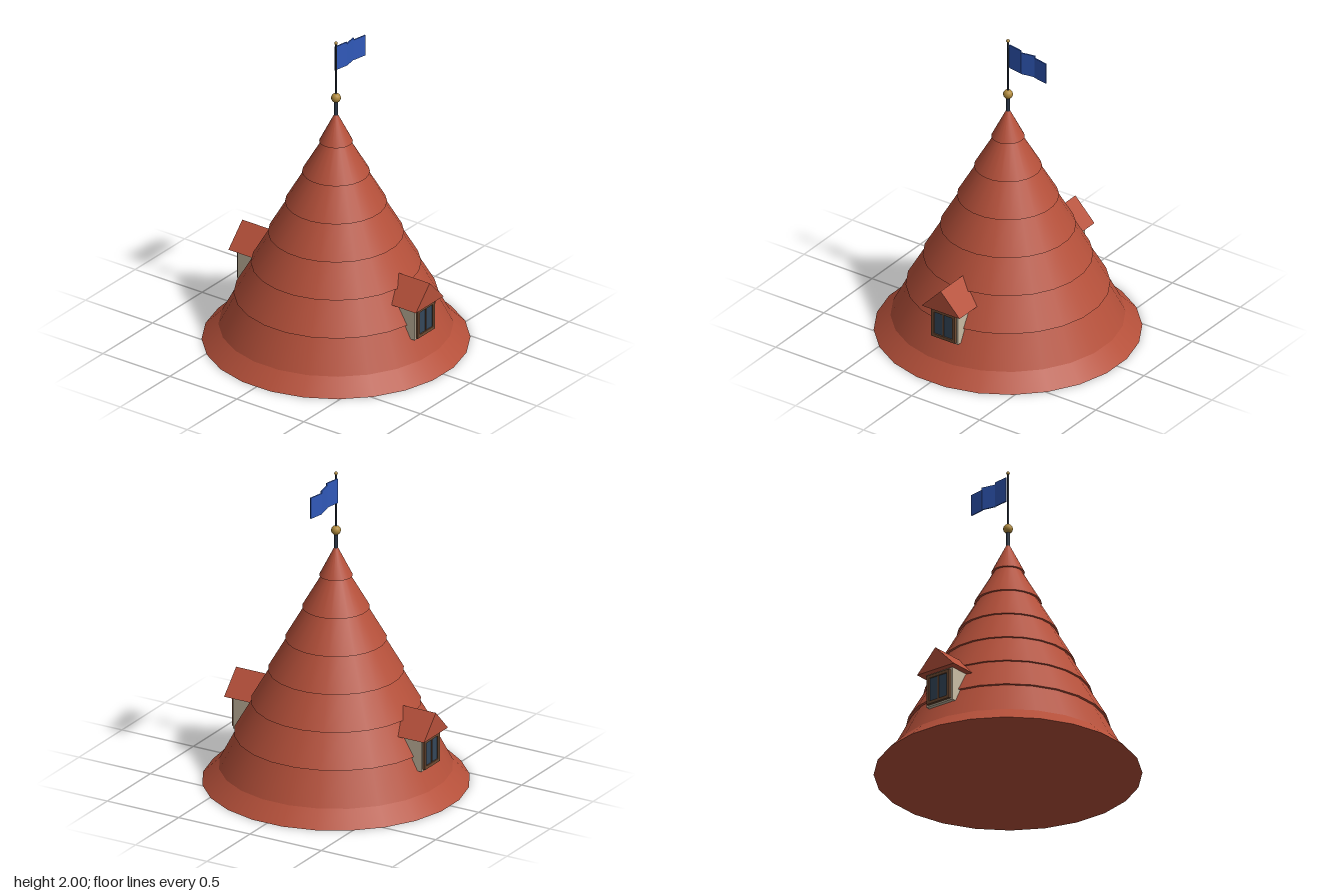
import * as THREE from 'three';

const material = (name, color, side = THREE.FrontSide) => {
  const m = new THREE.MeshStandardMaterial({ color, side });
  m.name = name;
  return m;
};

export function createModel() {
  const tile = material('red roof tile', 0xb5503a);
  const plaster = material('cream plaster', 0xc9bba3);
  const wood = material('brown wood', 0x6e4a32);
  const glass = material('dark glass', 0x34475a);
  const iron = material('dark iron', 0x2a3545);
  const gold = material('gold', 0xb08a3c);
  const cloth = material('blue cloth', 0x3059ba);

  const model = new THREE.Group();
  model.name = 'towerRoof';

  function add(parent, name, geometry, mat, x = 0, y = 0, z = 0) {
    const mesh = new THREE.Mesh(geometry, mat);
    mesh.name = name;
    mesh.position.set(x, y, z);
    parent.add(mesh);
    return mesh;
  }
  const box = (parent, name, w, h, d, mat, x, y, z) =>
    add(parent, name, new THREE.BoxGeometry(w, h, d), mat, x, y, z);

  // Conical roof: flared skirt and overlapping tiers [bottom y, bottom r, top y, top r]
  const sides = 24;
  const toCorner = 1 / Math.cos(Math.PI / sides);
  const bands = [[0, 0.8, 0.1, 0.7], [0.1, 0.7, 0.31, 0.592]];
  for (let i = 0; i < 6; i++) {
    const y = 0.31 + i * 0.204, r = 0.61 - i * 0.102;
    bands.push(i < 5 ? [y, r, y + 0.204, r - 0.117] : [y, r, 1.515, 0.008]);
  }
  bands.forEach(([y0, r0, y1, r1], i) => {
    const g = new THREE.CylinderGeometry(r1 * toCorner, r0 * toCorner, y1 - y0,
      sides, 1, false, Math.PI / sides);
    add(model, i ? 'roofTier' + i : 'roofSkirt', g, tile, 0, (y0 + y1) / 2, 0);
  });

  // Dormers on the front and back
  function dormer(name) {
    const g = new THREE.Group();
    g.name = name;
    box(g, 'dormerWalls', 0.2, 0.22, 0.26, plaster, 0, 0.335, 0.53);

    const gable = new THREE.Shape([
      new THREE.Vector2(-0.14, 0.437),
      new THREE.Vector2(0.14, 0.437),
      new THREE.Vector2(0, 0.582),
    ]);
    add(g, 'dormerRoof', new THREE.ExtrudeGeometry(gable,
      { depth: 0.28, bevelEnabled: false }), tile, 0, 0, 0.42);

    // Window frame, panes and centre bar
    for (const s of [-1, 1]) {
      box(g, 'windowJamb', 0.02, 0.19, 0.016, wood, s * 0.077, 0.33, 0.668);
      box(g, 'windowRail', 0.134, 0.02, 0.016, wood, 0, 0.33 + s * 0.085, 0.668);
      box(g, 'windowPane', 0.063, 0.15, 0.008, glass, s * 0.0355, 0.33, 0.664);
    }
    box(g, 'windowMullion', 0.008, 0.15, 0.014, wood, 0, 0.33, 0.667);
    model.add(g);
    return g;
  }
  dormer('frontDormer');
  dormer('backDormer').rotation.y = Math.PI;

  // Flagpole with gold ball and tip
  add(model, 'poleBase', new THREE.CylinderGeometry(0.013, 0.013, 0.13, 10), iron, 0, 1.555, 0);
  add(model, 'pole', new THREE.CylinderGeometry(0.006, 0.006, 0.38, 8), iron, 0, 1.79, 0);
  add(model, 'poleBall', new THREE.SphereGeometry(0.03, 14, 10), gold, 0, 1.62, 0);
  add(model, 'poleTip', new THREE.SphereGeometry(0.011, 10, 8), gold, 0, 1.989, 0);

  // Flag made of three panels that zigzag in the wind: [x0, z0, x1, z1, bottom, top]
  const panels = [
    [0.004, -0.012, 0.1, 0.006, 1.8, 1.958],
    [0.1, 0.004, 0.19, -0.012, 1.797, 1.943],
    [0.188, -0.012, 0.285, 0.007, 1.793, 1.928],
  ];
  for (const [x0, z0, x1, z1, y0, y1] of panels) {
    const p = box(model, 'flagPanel', Math.hypot(x1 - x0, z1 - z0), y1 - y0, 0.008, cloth,
      (x0 + x1) / 2, (y0 + y1) / 2, (z0 + z1) / 2);
    p.rotation.y = -Math.atan2(z1 - z0, x1 - x0);
  }

  return model;
}
